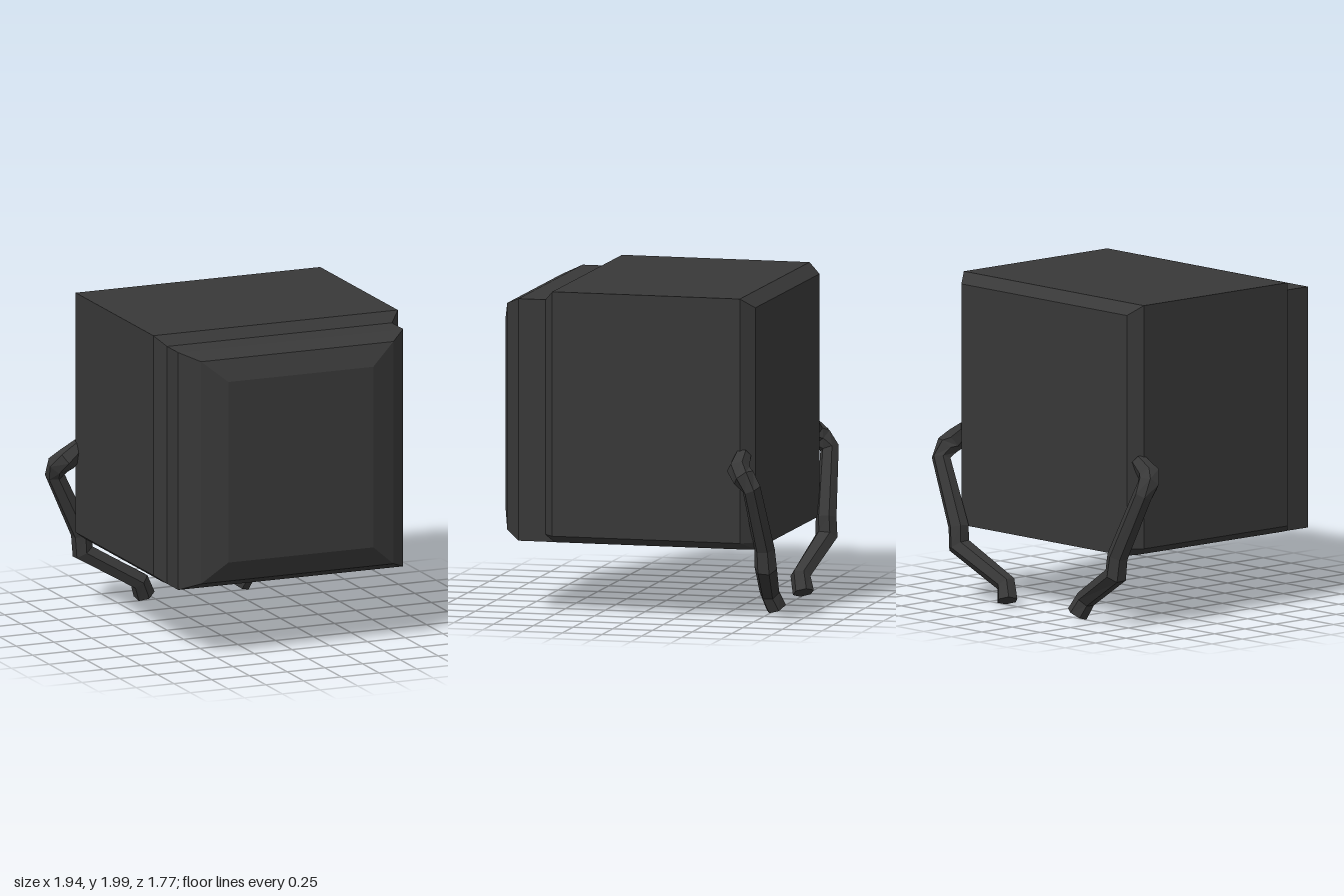
import * as THREE from 'three';

const shell = new THREE.MeshStandardMaterial({ color: 0x383838 });
shell.name = 'dark grey shell';

// Flat-shaded skin through closed rings, each counterclockwise seen from the last ring's end
function loft(rings) {
  const n = rings[0].length;
  const index = [];
  for (let r = 0; r < rings.length - 1; r++) {
    for (let i = 0; i < n; i++) {
      const a = r * n + i, b = r * n + (i + 1) % n;
      index.push(a, b, b + n, a, b + n, a + n);
    }
  }
  const last = (rings.length - 1) * n;
  for (let i = 1; i < n - 1; i++) {
    index.push(0, i + 1, i, last, last + i, last + i + 1);
  }
  const indexed = new THREE.BufferGeometry().setFromPoints(rings.flat());
  indexed.setIndex(index);
  const geometry = indexed.toNonIndexed();
  geometry.computeVertexNormals();
  return geometry;
}

// Cabinet cross-section: square top corners, cut lower corners
function cabinetRing([z, half, top, side, floor, halfFloor]) {
  return [[half, top], [-half, top], [-half, side], [-halfFloor, floor], [halfFloor, floor], [half, side]]
    .map(([x, y]) => new THREE.Vector3(x, y, z));
}

// Six-sided limb along a bent path of [x, y, z, radius]
function limbRings(path, sign) {
  const points = path.map(([x, y, z]) => new THREE.Vector3(sign * x, y, z));
  return points.map((p, i) => {
    const before = p.clone().sub(points[Math.max(i - 1, 0)]).normalize();
    const after = points[Math.min(i + 1, points.length - 1)].clone().sub(p).normalize();
    const t = before.add(after).normalize();
    const u = new THREE.Vector3(0, 0, 1).addScaledVector(t, -t.z).normalize();
    const v = t.clone().cross(u);
    return Array.from({ length: 6 }, (_, k) => {
      const angle = k * Math.PI / 3;
      return p.clone()
        .addScaledVector(u, path[i][3] * Math.cos(angle))
        .addScaledVector(v, path[i][3] * Math.sin(angle));
    });
  });
}

function part(name, geometry) {
  const mesh = new THREE.Mesh(geometry, shell);
  mesh.name = name;
  return mesh;
}

export function createModel() {
  const model = new THREE.Group();
  model.name = 'cabinetWithArms';

  // Main cabinet, back to front: z, half width, top, side bottom, floor, half floor width
  model.add(part('cabinet', loft([
    [-0.76, 0.745, 1.94, 0.5, 0.455, 0.72],
    [-0.68, 0.81, 2, 0.5, 0.455, 0.75],
    [0.5, 0.81, 2, 0.5, 0.455, 0.75],
    [0.56, 0.745, 1.94, 0.5, 0.455, 0.745],
  ].map(cabinetRing))));

  // Stepped front bezel
  model.add(part('frontBezel', loft([
    [0.56, 0.745, 1.94, 0.5, 0.455, 0.745],
    [0.73, 0.745, 1.94, 0.5, 0.455, 0.745],
    [0.83, 0.637, 1.895, 0.55, 0.505, 0.637],
    [0.885, 0.48, 1.765, 0.68, 0.635, 0.48],
  ].map(cabinetRing))));

  // Bent arms, shoulder to flared hand
  const armPath = [
    [0.77, 1.04, -0.69, 0.05],
    [0.865, 0.965, -0.685, 0.07],
    [0.905, 0.92, -0.73, 0.07],
    [0.905, 0.85, -0.78, 0.06],
    [0.715, 0.455, -0.81, 0.065],
    [0.705, 0.34, -0.815, 0.07],
    [0.36, 0.14, -0.745, 0.062],
    [0.315, 0.045, -0.775, 0.066],
  ];
  for (const [name, sign] of [['leftArm', 1], ['rightArm', -1]]) {
    model.add(part(name, loft(limbRings(armPath, sign))));
  }
  return model;
}
